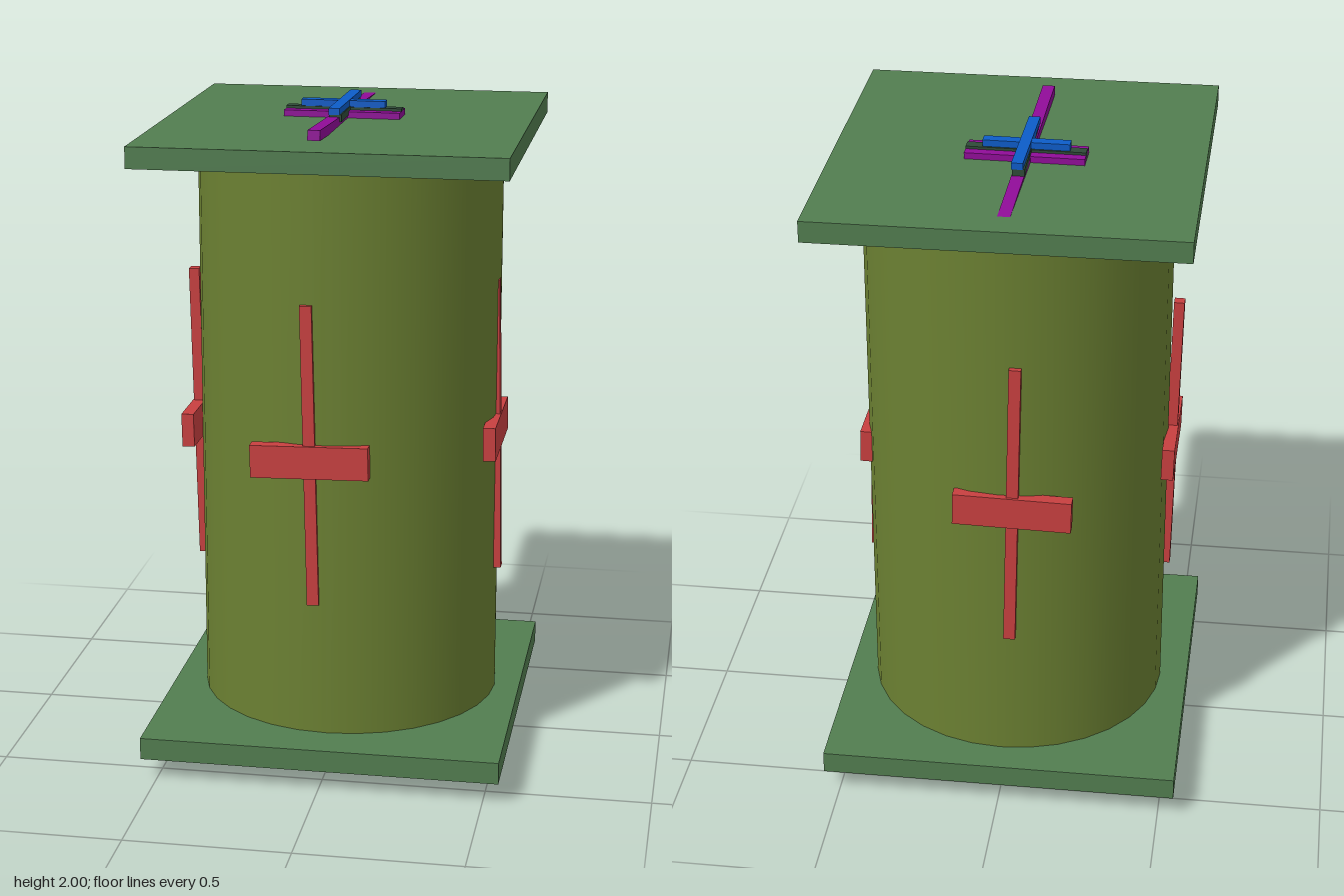
import * as THREE from 'three';

const mat = (color) => new THREE.MeshStandardMaterial({ color });
const OLIVE = mat(0x6b8032), GREEN = mat(0x527d50), RED = mat(0xc84040);
const PURPLE = mat(0x900c98), BLUE = mat(0x0c5cc8), DARK = mat(0x2f4a38);

// Box given by its size and centre
function box(parent, name, material, size, pos) {
  const m = new THREE.Mesh(new THREE.BoxGeometry(...size), material);
  m.name = name;
  m.position.set(...pos);
  parent.add(m);
  return m;
}

export function createModel() {
  const root = new THREE.Group();
  root.name = 'column';

  // Round shaft
  const shaft = new THREE.Mesh(new THREE.CylinderGeometry(0.465, 0.465, 1.76, 32), OLIVE);
  shaft.name = 'shaft';
  shaft.position.set(0.004, 1.01, -0.015);
  root.add(shaft);

  // Square end plates
  box(root, 'topPlate', GREEN, [1.095, 0.064, 1.17], [0, 1.918, 0]);
  box(root, 'bottomPlate', GREEN, [1.095, 0.068, 1.17], [0, 0.099, 0]);

  // Four crosses on the shaft, all leaning slightly the same way
  const sides = [
    ['front', -0.044, 0.447, true],
    ['back', -0.035, -0.48, true],
    ['left', 0.462, 0.02, false],
    ['right', -0.471, 0.022, false],
  ];
  for (const [side, x, z, facesZ] of sides) {
    const cross = new THREE.Group();
    cross.name = side + 'Cross';
    cross.position.set(x, 1.0, z);
    cross.rotation.z = 0.02;
    const thin = facesZ ? [0.036, 0.925, 0.024] : [0.032, 0.925, 0.034];
    const wide = facesZ ? [0.355, 0.1, 0.04] : [0.038, 0.104, 0.355];
    box(cross, 'upright', RED, thin, [0, 0.012, 0]);
    box(cross, 'crossbar', RED, wide, [0, 0, 0]);
    root.add(cross);
  }

  // Stacked crosses on the outer face of each plate
  for (const top of [true, false]) {
    const emblem = new THREE.Group();
    emblem.name = top ? 'topEmblem' : 'bottomEmblem';
    const y = (fromEnd) => (top ? 2 - fromEnd : fromEnd);

    const long = box(emblem, 'longBar', PURPLE, [0.037, 0.03, 0.93], [-0.022, y(top ? 0.048 : 0.056), -0.035]);
    long.rotation.set(top ? -0.038 : -0.008, -0.02, 0);

    const wide = box(emblem, 'wideBar', PURPLE, [0.355, 0.03, 0.1], [-0.022, y(0.046), -0.045]);
    wide.rotation.y = -0.02;

    const dark = box(emblem, 'darkBar', DARK, [0.355, 0.022, 0.036], [-0.022, y(0.034), -0.046]);
    dark.rotation.y = -0.02;
    box(emblem, 'darkCrossbar', DARK, [0.037, 0.022, 0.355], [-0.02, y(0.03), -0.043]);

    const blue = box(emblem, 'blueBar', BLUE, [0.258, 0.02, 0.035], [-0.023, y(0.012), -0.043]);
    blue.rotation.y = -0.02;
    const blueLong = box(emblem, 'blueLongBar', BLUE, [0.034, 0.02, 0.357], [-0.02, y(0.01), -0.043]);
    blueLong.rotation.y = -0.02;
    root.add(emblem);
  }
  return root;
}
